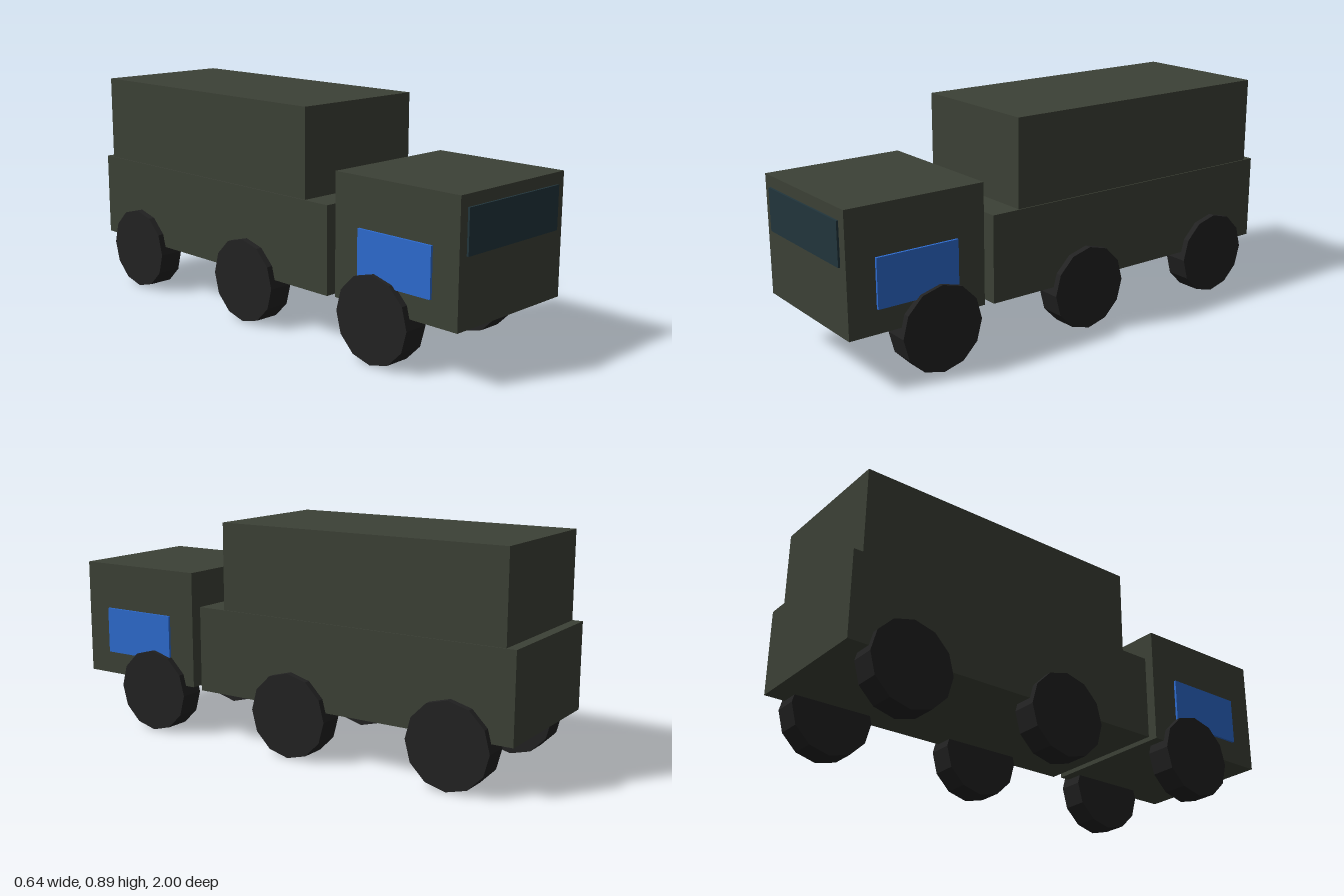
import * as THREE from 'three';

export function createModel() {
  const truck = new THREE.Group();
  truck.name = 'truck';

  const paint = (name, color) => {
    const m = new THREE.MeshStandardMaterial({ color });
    m.name = name;
    return m;
  };
  const olive = paint('olive paint', 0x3c4136);
  const rubber = paint('black rubber', 0x222222);
  const glass = paint('dark glass', 0x22353c);
  const blue = paint('blue panel', 0x2d6bcf);

  // Box given by its min and max corners
  const box = (name, material, [x0, y0, z0], [x1, y1, z1]) => {
    const mesh = new THREE.Mesh(new THREE.BoxGeometry(x1 - x0, y1 - y0, z1 - z0), material);
    mesh.position.set((x0 + x1) / 2, (y0 + y1) / 2, (z0 + z1) / 2);
    mesh.name = name;
    truck.add(mesh);
  };

  // Body
  box('cab', olive, [-0.295, 0.206, 0.422], [0.295, 0.679, 0.992]);
  box('cargoBed', olive, [-0.295, 0.2, -1], [0.295, 0.545, 0.38]);
  box('cargoCover', olive, [-0.29, 0.545, -0.96], [0.29, 0.893, 0.26]);

  // Windshield and side panels
  box('windshield', glass, [-0.257, 0.466, 0.991], [0.257, 0.634, 1]);
  box('leftSidePanel', blue, [0.2955, 0.3, 0.541], [0.3054, 0.49, 0.879]);
  box('rightSidePanel', blue, [-0.3054, 0.3, 0.541], [-0.2955, 0.49, 0.879]);

  // Three axles of twelve-sided wheels
  const radius = 0.169;
  const wheelGeometry = new THREE.CylinderGeometry(radius, radius, 0.102, 12).rotateZ(Math.PI / 2);
  const tire = rubber;
  tire.flatShading = true;
  [['front', 0.623], ['middle', -0.066], ['rear', -0.756]].forEach(([axle, z]) => {
    for (const side of [1, -1]) {
      const wheel = new THREE.Mesh(wheelGeometry, tire);
      wheel.position.set(side * 0.27, radius, z);
      wheel.name = axle + (side > 0 ? 'LeftWheel' : 'RightWheel');
      truck.add(wheel);
    }
  });

  return truck;
}
